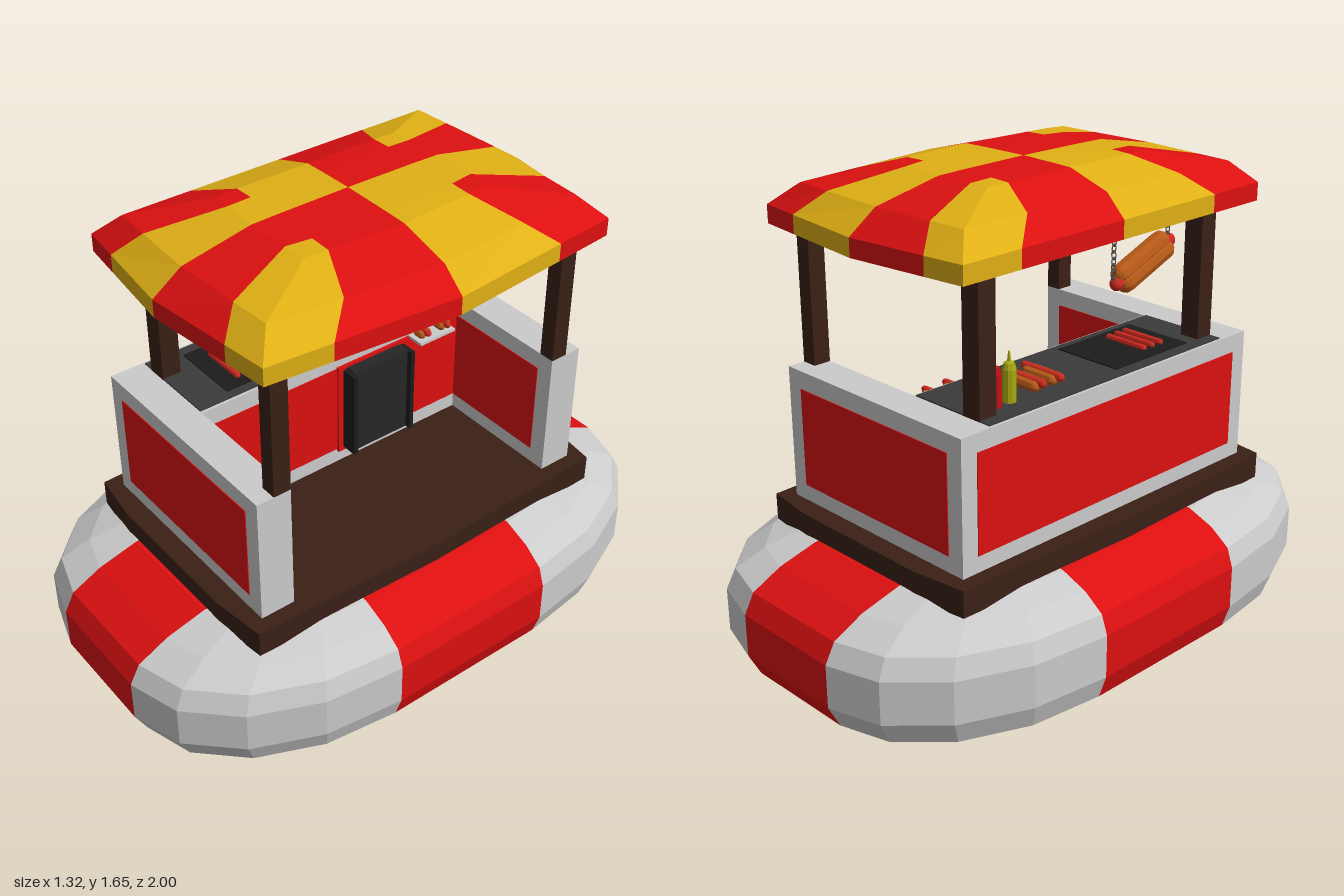
import * as THREE from 'three';

const RED = 0xdd1010, YELLOW = 0xe0b015, GREY = 0xcccccc, BROWN = 0x3a2017;
const DARK = 0x3a3a3a, BLACK = 0x1c1c1c, BUN = 0xb85a18, SAUSAGE = 0xcc2a20;

const mat = (color, side = THREE.FrontSide) =>
  new THREE.MeshStandardMaterial({ color, flatShading: true, side });

function add(parent, name, geo, color, x = 0, y = 0, z = 0, side) {
  const m = new THREE.Mesh(geo, mat(color, side));
  m.name = name;
  m.position.set(x, y, z);
  parent.add(m);
  return m;
}

// Box given by its limits on each axis
function box(parent, name, color, x0, x1, y0, y1, z0, z1) {
  return add(parent, name, new THREE.BoxGeometry(x1 - x0, y1 - y0, z1 - z0), color,
    (x0 + x1) / 2, (y0 + y1) / 2, (z0 + z1) / 2);
}

// Skin closed rings of points, sorting the faces into one mesh per colour
function skin(parent, name, rings, colorOf) {
  const lists = new Map();
  for (let r = 0; r + 1 < rings.length; r++) {
    const a = rings[r], b = rings[r + 1], n = a.length;
    for (let i = 0; i < n; i++) {
      const j = (i + 1) % n, c = colorOf(r, i);
      if (!lists.has(c)) lists.set(c, []);
      for (const p of [a[i], b[j], a[j], a[i], b[i], b[j]]) lists.get(c).push(...p);
    }
  }
  for (const [color, list] of lists) {
    const g = new THREE.BufferGeometry();
    g.setAttribute('position', new THREE.Float32BufferAttribute(list, 3));
    g.computeVertexNormals();
    add(parent, name, g, color, 0, 0, 0, THREE.DoubleSide);
  }
}

// Inflated raft: rounded ring profile swept around a rectangular core
function buildRaft(root) {
  const profile = [[0, 0], [0, 0.003], [0.4, 0.018], [0.72, 0.055], [0.94, 0.13], [1, 0.21],
    [1, 0.355], [0.95, 0.42], [0.8, 0.47], [0.6, 0.505], [0.35, 0.515], [0, 0.515]];
  const rings = profile.map(([r, y]) => {
    const ring = [];
    for (let q = 0; q < 4; q++) for (let k = 0; k <= 4; k++) {
      const a = (q + k / 4) * Math.PI / 2;
      const sx = q === 0 || q === 3 ? 1 : -1, sz = q < 2 ? 1 : -1;
      ring.push([sx * 0.2 + 0.46 * r * Math.cos(a), y, sz * 0.3 + 0.7 * r * Math.sin(a)]);
    }
    return ring;
  });
  skin(root, 'raft', rings, (r, i) => (i % 5 === 4 ? RED : GREY));
  for (const y of [0.003, 0.515]) box(root, 'raftCore', GREY, -0.2, 0.2, y - 0.002, y + 0.001, -0.3, 0.3);
}

// Canopy: rings of [y, left x, right corner x, right middle x, corner z, middle z, wedge x, wedge z]
function buildRoof(root) {
  const table = [
    [1.652, 0, 0, 0, 0, 0, 0, 0],
    [1.65, 0.13, 0.17, 0.17, 0.26, 0.26, 0.13, 0.26],
    [1.648, 0.2, 0.24, 0.26, 0.34, 0.35, 0.13, 0.26],
    [1.6, 0.35, 0.38, 0.44, 0.57, 0.59, 0.22, 0.33],
    [1.53, 0.42, 0.46, 0.52, 0.64, 0.69, 0.28, 0.42],
    [1.47, 0.42, 0.46, 0.52, 0.64, 0.69, 0.28, 0.42],
    [1.475, 0.37, 0.41, 0.46, 0.59, 0.63, 0.25, 0.39]];
  const lerp = THREE.MathUtils.lerp;
  const rings = table.map(([y, l, rc, rm, zc, zm, wx, wz]) => {
    const ring = [];
    const quadrant = (sx, sz) => {
      const xc = sx > 0 ? rc : l, xm = sx > 0 ? rm : l;
      const w = l ? wx / l * xc : 0;
      const pts = [[xm, 0], [lerp(xm, xc, zc ? wz / zc : 0), wz], [xc, zc],
        [w, lerp(zm, zc, xc ? w / xc : 0)], [0, zm]];
      return pts.map(([x, z]) => [x * sx, y, z * sz]);
    };
    ring.push(...quadrant(1, 1).slice(0, 4), ...quadrant(-1, 1).reverse().slice(0, 4),
      ...quadrant(-1, -1).slice(0, 4), ...quadrant(1, -1).reverse().slice(0, 4));
    return ring;
  });
  skin(root, 'roof', rings, (r, i) => {
    const odd = (i >> 2) % 2, wedge = r > 0 && (i % 4 === 1 || i % 4 === 2);
    return (odd === 1) !== wedge ? YELLOW : RED;
  });
  // Dark ceiling
  const inner = rings[6].map(([x, , z]) => new THREE.Vector2(x, z));
  const ceiling = new THREE.ShapeGeometry(new THREE.Shape(inner)).rotateX(Math.PI / 2);
  add(root, 'ceiling', ceiling, 0x0c0c0c, 0, 1.475, 0, THREE.DoubleSide);
}

// Hot dog lying along x, its bun halves hugging the sausage
function hotDog(parent, name, length, r) {
  const g = new THREE.Group();
  g.name = name;
  for (const s of [-1, 1]) {
    const half = new THREE.CapsuleGeometry(r, length - 2 * r, 4, 8).rotateZ(Math.PI / 2);
    add(g, 'bun', half, BUN, 0, 0, s * r * 0.75);
  }
  add(g, 'sausage', new THREE.CapsuleGeometry(r * 0.75, length + r * 0.6, 4, 8).rotateZ(Math.PI / 2),
    SAUSAGE, 0, r * 0.6, 0);
  parent.add(g);
  return g;
}

function buildStall(root) {
  // Deck with gently bowed edges
  const outline = [[0.45, 0.685], [0.26, 0.71], [-0.26, 0.71], [-0.45, 0.685], [-0.47, 0],
    [-0.45, -0.685], [-0.26, -0.71], [0.26, -0.71], [0.45, -0.685], [0.47, 0]];
  const shape = new THREE.Shape(outline.map(p => new THREE.Vector2(...p)));
  const deck = new THREE.ExtrudeGeometry(shape, { depth: 0.09, bevelEnabled: false }).rotateX(-Math.PI / 2);
  add(root, 'deck', deck, BROWN, 0, 0.485, 0);

  // End walls with red panels on both faces, and the roof posts
  for (const s of [-1, 1]) {
    const z = s * 0.58;
    box(root, 'endWall', GREY, -0.4, 0.4, 0.57, 1.02, z - 0.06, z + 0.06);
    box(root, 'endPanel', RED, -0.34, 0.34, 0.63, 0.96, z - 0.063, z + 0.063);
    box(root, 'counterPost', BROWN, -0.35, -0.28, 1.02, 1.53, s * 0.488 - 0.033, s * 0.488 + 0.033);
    box(root, 'openSidePost', BROWN, 0.345, 0.4, 1.02, 1.53, s * 0.55 - 0.03, s * 0.55 + 0.03);
  }

  // Counter along one long side
  box(root, 'counter', GREY, -0.4, -0.06, 0.57, 1.02, -0.52, 0.52);
  box(root, 'counterOuterPanel', RED, -0.403, -0.39, 0.63, 0.96, -0.58, 0.58);
  box(root, 'counterInnerPanel', RED, -0.07, -0.057, 0.63, 0.96, -0.52, 0.52);
  box(root, 'worktop', DARK, -0.39, -0.07, 1.01, 1.024, -0.52, 0.52);
  box(root, 'grill', BLACK, -0.35, -0.1, 1.015, 1.028, 0.06, 0.4);
  for (let i = 0; i < 3; i++) {
    const g = new THREE.CapsuleGeometry(0.011, 0.15, 3, 8).rotateZ(Math.PI / 2);
    add(root, 'grillSausage', g, SAUSAGE, -0.22, 1.033, 0.25 + i * 0.04);
  }

  // Cabinet with a black door
  box(root, 'cabinetFrame', RED, -0.06, -0.05, 0.62, 0.965, -0.3, 0);
  box(root, 'cabinetDoor', 0x262626, -0.06, -0.005, 0.64, 0.955, -0.255, -0.035);
  for (const z of [-0.267, -0.028]) box(root, 'cabinetRail', BLACK, -0.06, 0.01, 0.635, 0.95, z - 0.008, z + 0.008);

  // Serving tray and hot dogs
  box(root, 'tray', GREY, -0.06, 0.01, 0.96, 0.97, -0.45, -0.3);
  for (const z of [-0.335, -0.42]) hotDog(root, 'trayHotDog', 0.05, 0.015).position.set(-0.025, 0.985, z);
  for (const z of [-0.165, -0.24]) hotDog(root, 'counterHotDog', 0.14, 0.018).position.set(-0.25, 1.043, z);

  // Sauce bottles
  const bottle = [[0, 0], [0.022, 0], [0.022, 0.105], [0.016, 0.125], [0.006, 0.13], [0.003, 0.16], [0, 0.16]];
  [[0xa8a810, -0.355], [0xc01018, -0.415]].forEach(([color, z]) => {
    const g = new THREE.LatheGeometry(bottle.map(p => new THREE.Vector2(...p)), 10);
    add(root, 'sauceBottle', g, color, -0.3, 1.022, z);
  });
}

// Big hanging hot dog on two chains
function buildSign(root) {
  const sign = new THREE.Group();
  sign.name = 'hangingHotDog';
  for (const s of [-1, 1]) {
    const g = new THREE.CapsuleGeometry(0.033, 0.19, 4, 10).rotateX(Math.PI / 2);
    add(sign, 'signBun', g, BUN, s * 0.006, s * 0.014, 0);
  }
  add(sign, 'signSausage', new THREE.CapsuleGeometry(0.023, 0.255, 4, 10).rotateX(Math.PI / 2), SAUSAGE);
  sign.position.set(-0.315, 1.335, 0.21);
  sign.rotation.x = -0.37;
  root.add(sign);
  for (const [z, y0] of [[0.325, 1.395], [0.075, 1.3]]) {
    for (let y = y0, i = 0; y < 1.48; y += 0.021, i++) {
      const link = add(root, 'chainLink', new THREE.TorusGeometry(0.009, 0.0025, 4, 8), 0x555555, -0.315, y, z);
      link.scale.y = 1.5;
      link.rotation.y = i % 2 ? Math.PI / 2 : 0;
    }
  }
}

export function createModel() {
  const root = new THREE.Group();
  root.name = 'floatingFoodStall';
  buildRaft(root);
  buildStall(root);
  buildRoof(root);
  buildSign(root);
  return root;
}
